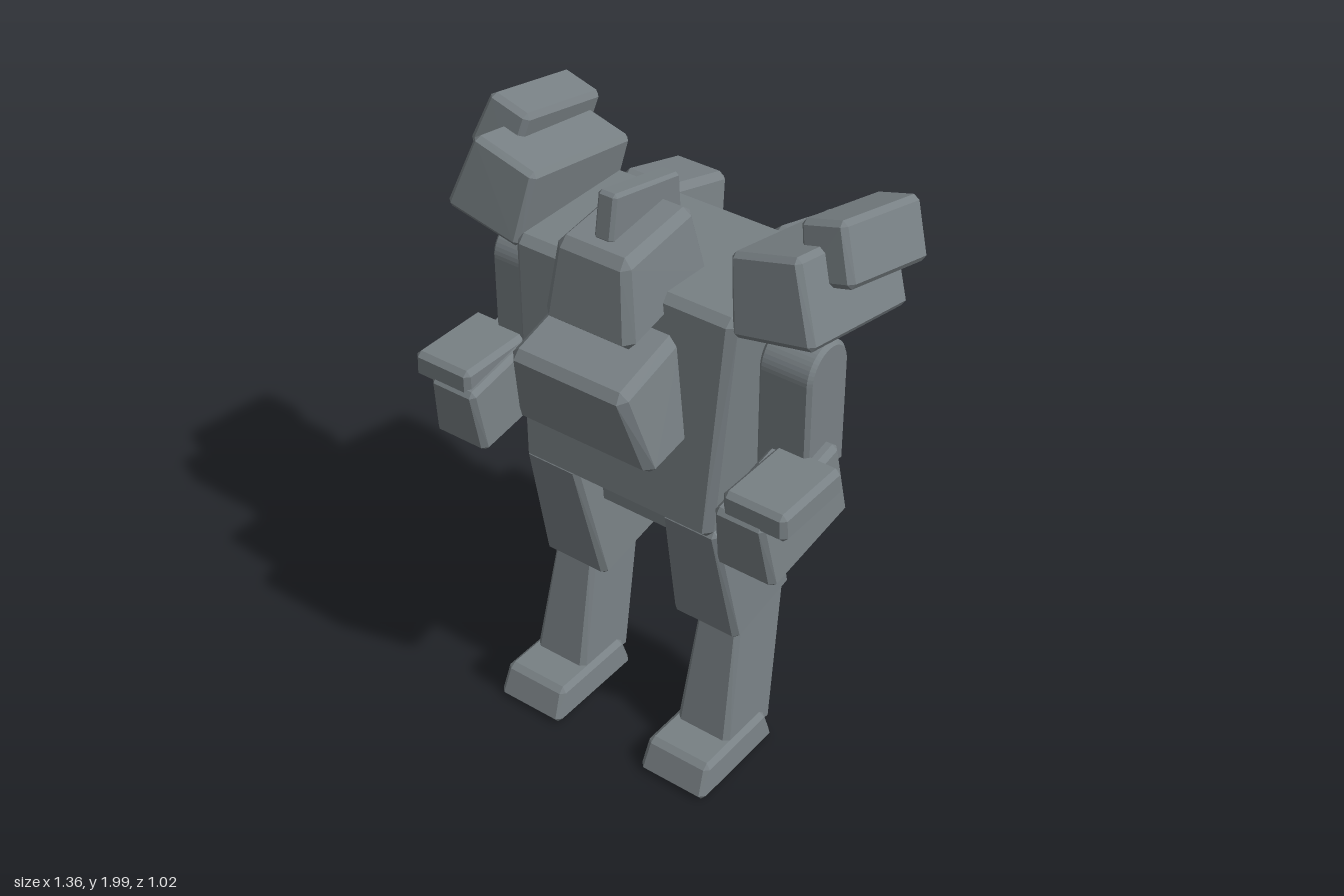
import * as THREE from 'three';
import { ConvexGeometry } from 'three/addons/geometries/ConvexGeometry.js';

const armour = new THREE.MeshStandardMaterial({ color: 0x788084 });
armour.name = 'armour grey';

const V = (x, y, z) => new THREE.Vector3(x, y, z);

// Chamfered six-sided block. Corner index: x + 2 * y + 4 * z (0 = low, 1 = high).
function block(name, corners, bevel = 0.016) {
  const at = (u, v, w) => {
    const p = V(0, 0, 0);
    corners.forEach((c, i) => p.addScaledVector(c,
      (i & 1 ? u : 1 - u) * (i & 2 ? v : 1 - v) * (i & 4 ? w : 1 - w)));
    return p;
  };
  const inset = [
    bevel / at(0, 0.5, 0.5).distanceTo(at(1, 0.5, 0.5)),
    bevel / at(0.5, 0, 0.5).distanceTo(at(0.5, 1, 0.5)),
    bevel / at(0.5, 0.5, 0).distanceTo(at(0.5, 0.5, 1)),
  ];
  const points = [];
  for (let i = 0; i < 8; i++) {
    for (let face = 0; face < 3; face++) {
      const t = [0, 1, 2].map((a) => {
        const d = a === face ? 0 : inset[a];
        return i & (1 << a) ? 1 - d : d;
      });
      points.push(at(...t));
    }
  }
  const mesh = new THREE.Mesh(new ConvexGeometry(points), armour);
  mesh.name = name;
  return mesh;
}

// Block from a side outline of [z, y]: bottom back, bottom front, top front, top back.
function sideBlock(name, s, [bb, bf, tf, tb], xBottom, xTop, bevel) {
  const corners = [[bb, xBottom], [tb, xTop], [bf, xBottom], [tf, xTop]]
    .flatMap(([[z, y], xs]) => xs.map((x) => V(s * x, y, z)));
  return block(name, corners, bevel);
}

// Block from four front corners (bottom inner, bottom outer, top inner, top outer) swept backward.
function sweptBlock(name, s, front, back) {
  const f = front.map(([x, y, z]) => V(s * x, y, z));
  const offset = V(s * back[0], back[1], back[2]);
  return block(name, [...f.map((p) => p.clone().add(offset)), ...f]);
}

// Plate with a round top, seen from the side, centred on (z, y).
function archPlate(name, s, x0, x1, z, y, r, bottom) {
  const b = 0.012;
  const shape = new THREE.Shape();
  shape.moveTo(-r + b, bottom - y + b);
  shape.lineTo(r - b, bottom - y + b);
  shape.absarc(0, 0, r - b, 0, Math.PI, false);
  shape.closePath();
  const geo = new THREE.ExtrudeGeometry(shape, {
    depth: x1 - x0 - 2 * b, bevelThickness: b, bevelSize: b, bevelSegments: 1, curveSegments: 12,
  });
  geo.translate(0, 0, -(x1 - x0 - 2 * b) / 2);
  geo.rotateY(-Math.PI / 2);
  const mesh = new THREE.Mesh(geo, armour);
  mesh.position.set(s * (x0 + x1) / 2, y, z);
  mesh.name = name;
  return mesh;
}

function exhaust(s) {
  const top = V(s * 0.215, 1.24, -0.415);
  const low = V(s * 0.19, 1.06, -0.365);
  const mesh = new THREE.Mesh(
    new THREE.CylinderGeometry(0.055, 0.075, top.distanceTo(low), 16), armour);
  mesh.position.copy(top).add(low).multiplyScalar(0.5);
  mesh.quaternion.setFromUnitVectors(V(0, 1, 0), top.sub(low).normalize());
  mesh.name = 'exhaust';
  return mesh;
}

export function createModel() {
  const model = new THREE.Group();
  model.name = 'robot';

  // Body, chest and head
  model.add(
    sideBlock('torso', 1, [[-0.29, 0.94], [0.3, 0.94], [0.25, 1.69], [-0.24, 1.69]],
      [-0.345, 0.345], [-0.39, 0.39], 0.025),
    sideBlock('pelvis', 1, [[-0.155, 0.77], [0.16, 0.77], [0.16, 0.98], [-0.155, 0.98]],
      [-0.165, 0.165], [-0.17, 0.17]),
    sideBlock('chest', 1, [[0.2, 1.25], [0.43, 1.21], [0.51, 1.5], [0.22, 1.585]],
      [-0.25, 0.25], [-0.2, 0.2], 0.025),
    sideBlock('head', 1, [[0.03, 1.66], [0.41, 1.57], [0.375, 1.84], [0.07, 1.88]],
      [-0.16, 0.16], [-0.122, 0.122], 0.025),
    sideBlock('crest', 1, [[0, 1.8], [0.325, 1.84], [0.3, 1.985], [0.01, 1.925]],
      [-0.032, 0.032], [-0.032, 0.032], 0.01),
  );

  for (const [s, label] of [[1, 'left'], [-1, 'right']]) {
    // Leg
    const leg = new THREE.Group();
    leg.name = label + 'Leg';
    leg.add(
      archPlate('hip', s, 0.19, 0.355, 0.03, 0.99, 0.1, 0.8),
      sideBlock('thigh', s, [[-0.1, 0.545], [0.18, 0.49], [0.28, 0.955], [-0.03, 0.98]],
        [0.13, 0.375], [0.16, 0.355]),
      sideBlock('shin', s, [[0.005, 0.05], [0.245, 0.08], [0.145, 0.54], [-0.1, 0.54]],
        [0.185, 0.387], [0.205, 0.355]),
      sideBlock('foot', s, [[0.015, 0], [0.405, 0], [0.36, 0.115], [0.05, 0.115]],
        [0.16, 0.41], [0.17, 0.4]),
    );

    // Arm
    const arm = new THREE.Group();
    arm.name = label + 'Arm';
    arm.add(
      archPlate('upperArm', s, 0.395, 0.57, 0.045, 1.49, 0.097, 1.14),
      sideBlock('forearm', s, [[0, 1.015], [0.375, 0.96], [0.41, 1.185], [0.03, 1.26]],
        [0.425, 0.63], [0.438, 0.605]),
      sideBlock('forearmGun', s, [[0.11, 1.16], [0.4, 1.16], [0.4, 1.25], [0.11, 1.25]],
        [0.46, 0.675], [0.46, 0.67]),
    );

    // Shoulder armour with its launcher pod
    const shoulder = new THREE.Group();
    shoulder.name = label + 'Shoulder';
    shoulder.add(
      sweptBlock('shoulderPad', s,
        [[0.375, 1.64, 0.25], [0.645, 1.695, 0.25], [0.335, 1.875, 0.205], [0.555, 1.935, 0.205]],
        [0.012, -0.08, -0.465]),
      sweptBlock('shoulderPod', s,
        [[0.505, 1.785, 0.11], [0.67, 1.83, 0.11], [0.465, 1.96, 0.07], [0.605, 2, 0.07]],
        [0.018, -0.078, -0.365]),
    );

    // Thruster pack on the back
    const pack = new THREE.Group();
    pack.name = label + 'Thruster';
    pack.add(
      sideBlock('thrusterPack', s, [[-0.395, 1.13], [-0.22, 1.16], [-0.23, 1.69], [-0.52, 1.61]],
        [0.12, 0.29], [0.175, 0.375], 0.02),
      exhaust(s),
    );

    model.add(leg, arm, shoulder, pack);
  }
  return model;
}
